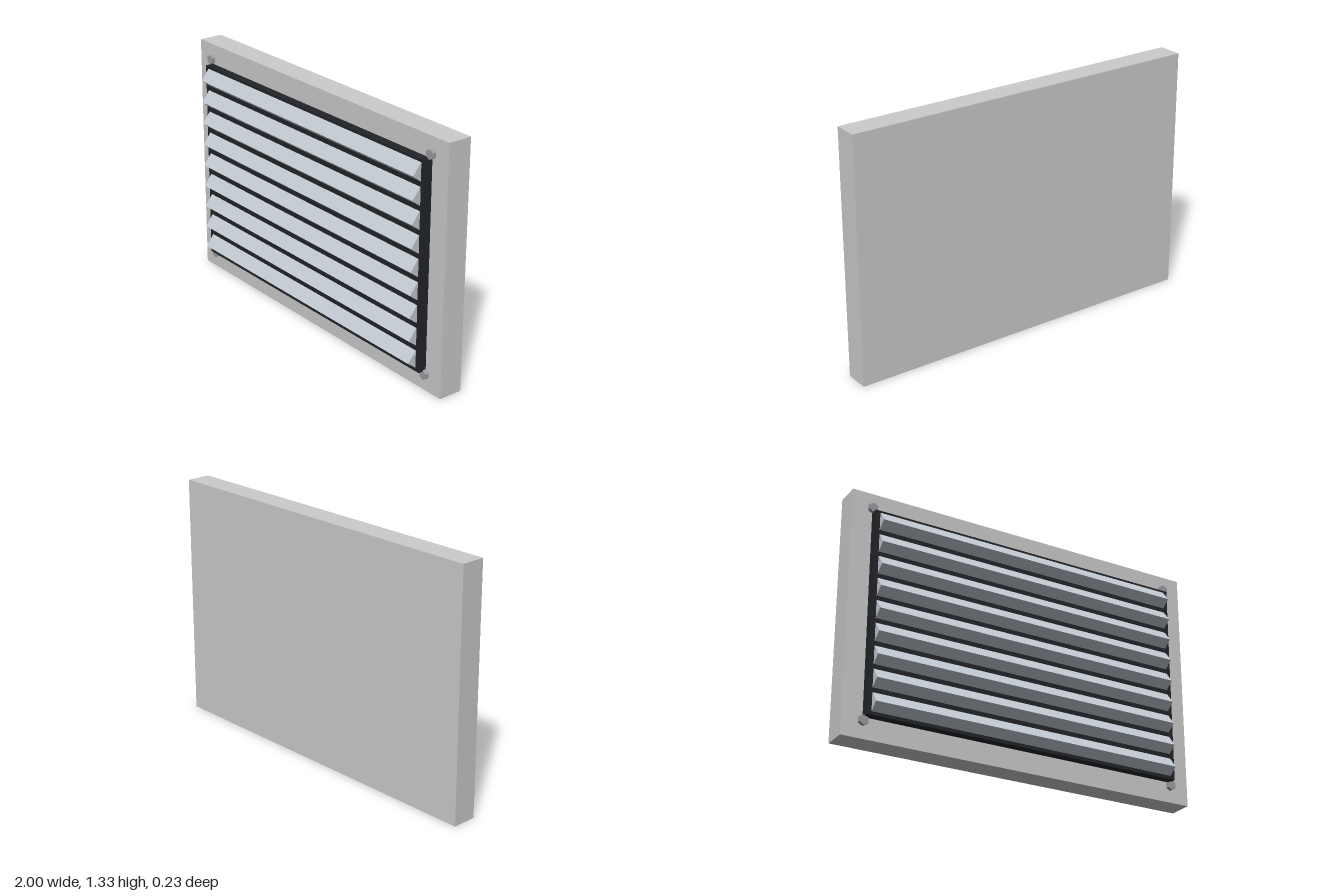
import * as THREE from 'three';

export function createModel() {
  const model = new THREE.Group();
  model.name = 'louvredVent';

  const grey = new THREE.MeshStandardMaterial({ color: 0xcccccc });
  const black = new THREE.MeshStandardMaterial({ color: 0x222428 });
  const paleBlue = new THREE.MeshStandardMaterial({ color: 0xc3cad2 });
  const steel = new THREE.MeshStandardMaterial({ color: 0x9a9da2, flatShading: true });

  function add(name, geometry, material, x, y, z) {
    const mesh = new THREE.Mesh(geometry, material);
    mesh.name = name;
    mesh.position.set(x, y, z);
    model.add(mesh);
    return mesh;
  }

  // Wall plate and the dark vent panel mounted on it
  const midY = 0.667;
  add('wallPlate', new THREE.BoxGeometry(2, 1.334, 0.133), grey, 0, midY, -0.0465);
  add('ventPanel', new THREE.BoxGeometry(1.78, 1.111, 0.045), black, 0, midY, 0.0425);

  // Nine tilted slats, half sunk into the panel
  const slat = new THREE.BoxGeometry(1.73, 0.076, 0.064);
  for (let i = -4; i <= 4; i++) {
    add('slat', slat, paleBlue, 0, midY + 0.002 + i * 0.1228, 0.0645).rotation.x = -0.654;
  }

  // Hexagonal bolt heads at the corners
  const bolt = new THREE.CylinderGeometry(0.0265, 0.0265, 0.02, 6).rotateX(Math.PI / 2);
  for (const x of [-0.89, 0.89]) {
    for (const side of [-1, 1]) add('bolt', bolt, steel, x, midY + side * 0.578 + 0.003, 0.03);
  }

  return model;
}
